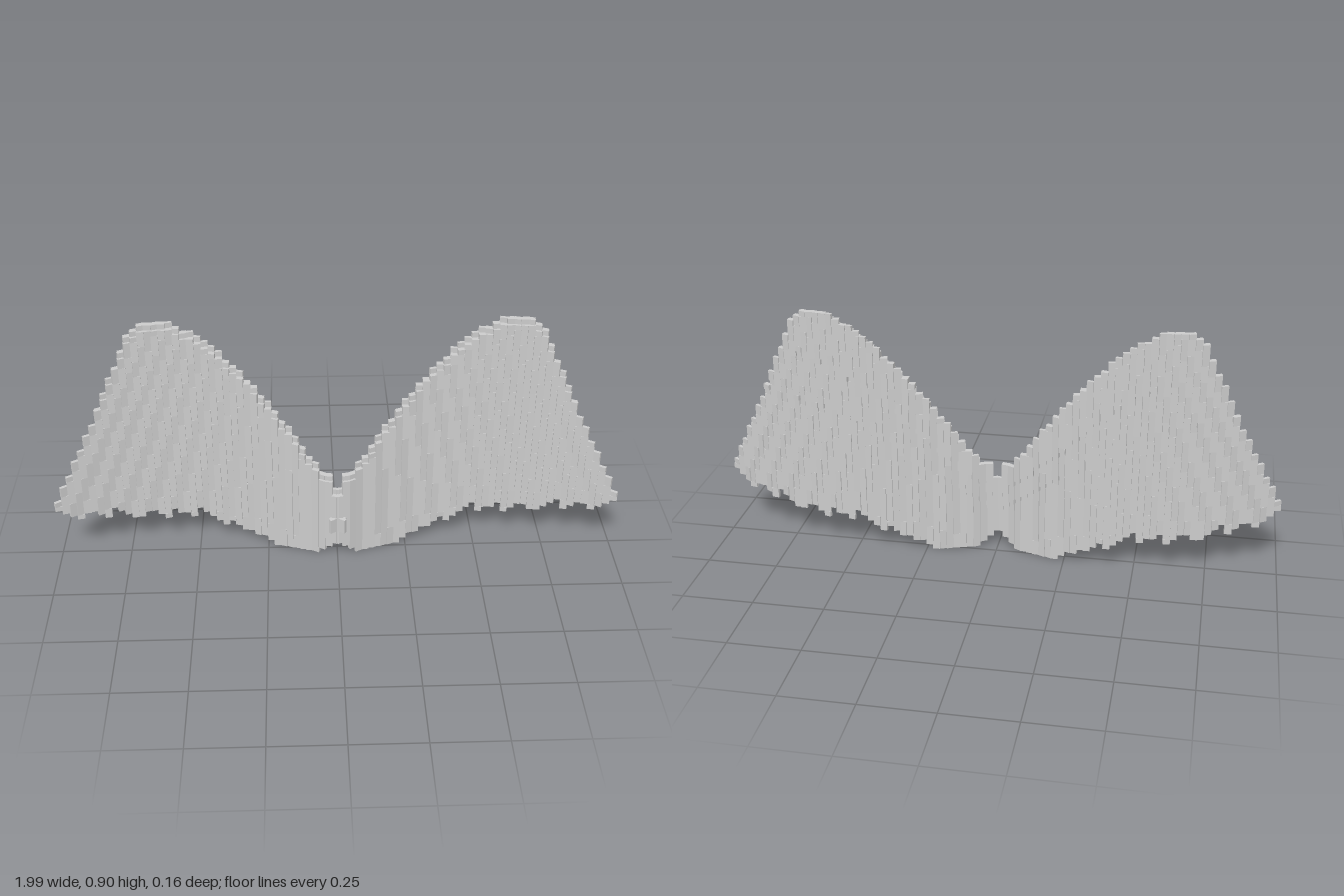
import * as THREE from 'three';
import { mergeGeometries } from 'three/addons/utils/BufferGeometryUtils.js';

const ROW = 0.0187, COLUMNS = 44, X0 = -0.028, X1 = 0.994;
const STEP = (X1 - X0) / COLUMNS, THICK = 0.012;

// Outlines of one wing as [x, y] points
const topEdge = [[-0.03, 0.18], [-0.005, 0.18], [0, 0.28], [0.02, 0.28], [0.03, 0.34], [0.06, 0.345], [0.13, 0.44],
  [0.2, 0.54], [0.28, 0.65], [0.36, 0.74], [0.44, 0.81], [0.52, 0.87], [0.58, 0.905],
  [0.65, 0.905], [0.7, 0.87], [0.76, 0.74], [0.84, 0.57], [0.92, 0.41], [1, 0.25]];
const bottomEdge = [[-0.03, 0.12], [-0.005, 0.12], [0, 0.05], [0.04, 0.045], [0.06, 0.01], [0.1, 0], [0.2, 0],
  [0.26, 0.03], [0.36, 0.06], [0.44, 0.095], [0.52, 0.11], [0.7, 0.12], [0.9, 0.16], [1, 0.19]];
const middleEdge = [[0, 0.15], [0.2, 0.3], [0.4, 0.44], [0.6, 0.53], [0.85, 0.58]];
const upperEdge = [[0, 0.2], [0.2, 0.4], [0.4, 0.59], [0.6, 0.7], [0.8, 0.76]];

function sample(points, x) {
  if (x <= points[0][0]) return points[0][1];
  for (let i = 1; i < points.length; i++) {
    const [ax, ay] = points[i - 1], [bx, by] = points[i];
    if (x <= bx) return ay + (by - ay) * (x - ax) / (bx - ax);
  }
  return points[points.length - 1][1];
}

const snap = (y) => Math.round(y / ROW);
const fract = (v) => v - Math.floor(v);
const bow = (x) => -0.055 + 0.46 * (x - 0.49) ** 2;

// Feathers fan out from upright at the root to slanted at the tip
function featherTilt(x, y) {
  const u = x / (1 - 0.5 * (y - 0.2));
  return fract(u * 11) < 0.5 ? 0.2 : -0.15;
}

// One layer of stepped columns; each column is split where a feather ends
function featherLayer(side, lowEdge, depth, drop) {
  const parts = [];
  for (let i = 0; i < COLUMNS; i++) {
    const x = X0 + (i + 0.5) * STEP;
    const jag = x > 0.3 ? 0.04 * fract(x * 10) : 0;
    const low = snap(sample(lowEdge, x) + jag);
    const high = snap(sample(topEdge, x) - drop);
    const bend = Math.atan(0.92 * (x - 0.49));
    let start = low;
    for (let r = low; r < high; r++) {
      const tilt = featherTilt(x, (r + 0.5) * ROW);
      const ends = r + 1 >= high || featherTilt(x, (r + 1.5) * ROW) !== tilt;
      if (!ends) continue;
      const height = (r + 1 - start) * ROW;
      const box = new THREE.BoxGeometry(STEP * 1.06 / Math.cos(bend), height, THICK);
      box.rotateY(-side * (bend + tilt));
      box.translate(side * x, start * ROW + height / 2, bow(x) - depth);
      parts.push(box);
      start = r + 1;
    }
  }
  return mergeGeometries(parts);
}

export function createModel() {
  const model = new THREE.Group();
  model.name = 'wings';
  const material = new THREE.MeshStandardMaterial({ color: 0xcccccc, flatShading: true });

  // Long feathers in front, two shorter rows of coverts behind
  const layers = [
    ['longFeathers', bottomEdge, 0, 0.018],
    ['middleCoverts', middleEdge, 0.009, 0.009],
    ['upperCoverts', upperEdge, 0.018, 0]
  ];
  for (const side of [1, -1]) {
    const wing = new THREE.Group();
    wing.name = side > 0 ? 'leftWing' : 'rightWing';
    for (const [name, edge, depth, drop] of layers) {
      const mesh = new THREE.Mesh(featherLayer(side, edge, depth, drop), material);
      mesh.name = name;
      wing.add(mesh);
    }
    model.add(wing);
  }
  return model;
}
